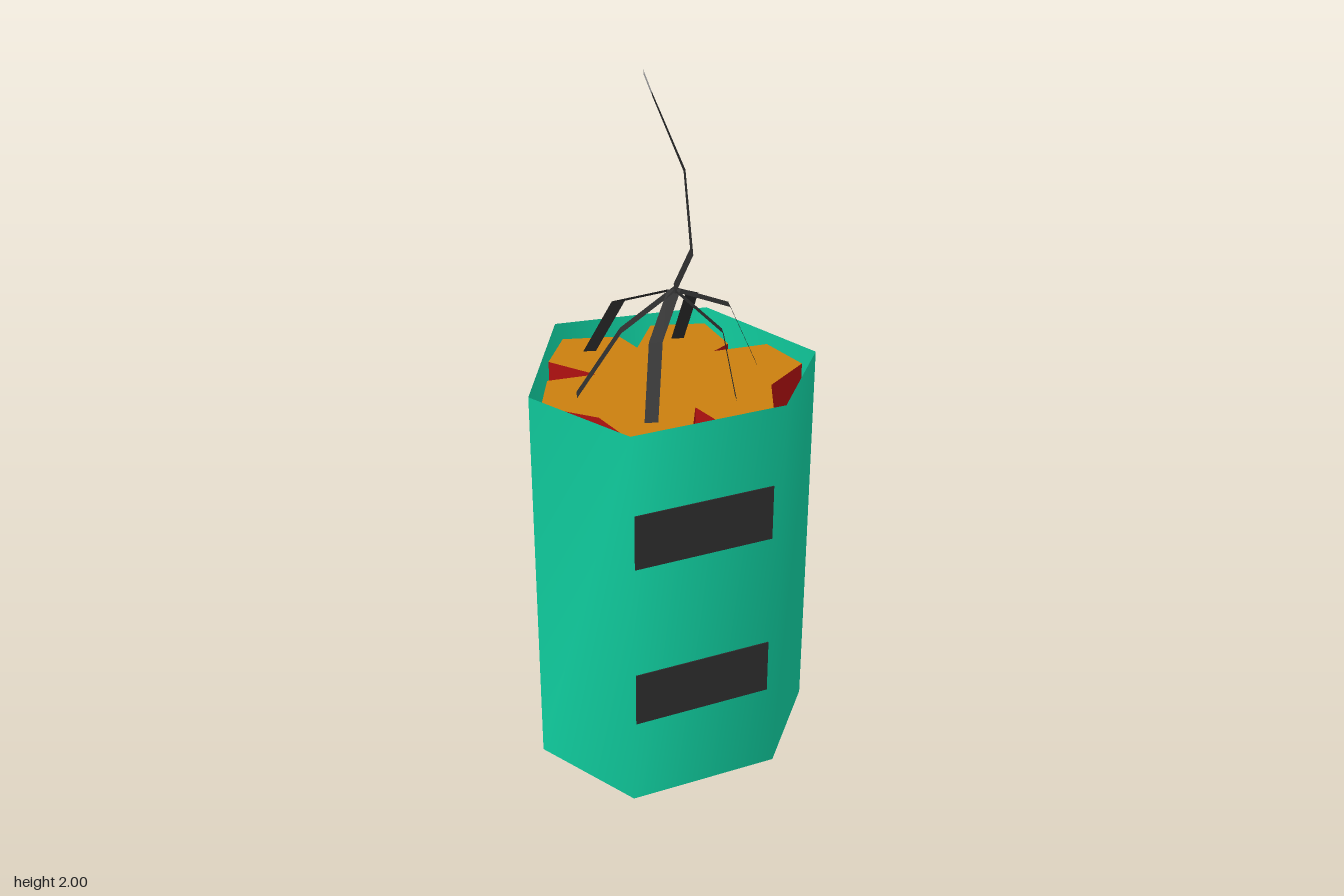
import * as THREE from 'three';

const mat = (name, color, side = THREE.DoubleSide) => {
  const m = new THREE.MeshStandardMaterial({ color, side });
  m.name = name;
  return m;
};

// Slightly irregular hexagon [x, z]: back, right side, front, left side
const HEX = [[0.015, -0.415], [0.387, -0.14], [0.33, 0.29], [0.005, 0.413], [-0.388, 0.2], [-0.385, -0.155]];

// Outline of the bundled sticks [x, z]
const BUNDLE = [
  [0.005, -0.378], [0.122, -0.26], [0.095, -0.17], [0.24, -0.237], [0.352, -0.12],
  [0.28, 0.02], [0.215, 0.018], [0.348, 0.11], [0.303, 0.263], [0.137, 0.273],
  [0.005, 0.375], [-0.127, 0.288], [-0.1, 0.19], [-0.23, 0.278], [-0.357, 0.187],
  [-0.307, 0.025], [-0.357, -0.137], [-0.228, -0.23], [-0.113, -0.15], [-0.135, -0.308],
];

const RIM = 1.19, TOP = 1.155;

const planShape = (pts) => new THREE.Shape(pts.map(([x, z]) => new THREE.Vector2(x, -z)));

// Open prism with normals smoothed around the corners
function wrapperGeometry() {
  const pos = [], idx = [], n = HEX.length;
  HEX.forEach(([x, z], i) => {
    pos.push(x, 0, z, x, RIM, z);
    const a = i * 2, b = ((i + 1) % n) * 2;
    idx.push(b, a, a + 1, b, a + 1, b + 1);
  });
  const g = new THREE.BufferGeometry();
  g.setAttribute('position', new THREE.Float32BufferAttribute(pos, 3));
  g.setIndex(idx);
  g.computeVertexNormals();
  return g;
}

// Flat ribbon along a path; width stays fixed or is squared to the path
function ribbonGeometry(path, width, square = false) {
  const pts = path.map((p) => new THREE.Vector3(...p));
  const w0 = new THREE.Vector3(...width);
  const pos = [], idx = [];
  pts.forEach((p, i) => {
    const w = w0.clone();
    if (square) {
      const t = pts[Math.min(i + 1, pts.length - 1)].clone().sub(pts[Math.max(i - 1, 0)]).normalize();
      w.addScaledVector(t, -w.dot(t)).setLength(w0.length());
    }
    const a = p.clone().addScaledVector(w, -0.5), b = p.clone().addScaledVector(w, 0.5);
    pos.push(a.x, a.y, a.z, b.x, b.y, b.z);
    if (i) idx.push(2 * i - 2, 2 * i - 1, 2 * i + 1, 2 * i - 2, 2 * i + 1, 2 * i);
  });
  const g = new THREE.BufferGeometry();
  g.setAttribute('position', new THREE.Float32BufferAttribute(pos, 3));
  g.setIndex(idx);
  const flat = g.toNonIndexed();
  flat.computeVertexNormals();
  return flat;
}

export function createModel() {
  const model = new THREE.Group();
  const green = mat('wrapperGreen', 0x10cfa0);
  const orange = mat('stickTopOrange', 0xca7f0e);
  const red = mat('stickSideRed', 0xb01010);
  const dark = mat('fuseCharcoal', 0x2d2d2d);
  const silver = mat('fuseTipSilver', 0xb8b8b8);

  const add = (name, geo, material, parent = model) => {
    const mesh = new THREE.Mesh(geo, material);
    mesh.name = name;
    parent.add(mesh);
    return mesh;
  };

  // Outer wrapper and its base
  add('wrapper', wrapperGeometry(), green);
  add('base', new THREE.ShapeGeometry(planShape(HEX)).rotateX(-Math.PI / 2), green);

  // Bundle of sticks recessed inside the wrapper
  const bundle = new THREE.ExtrudeGeometry(planShape(BUNDLE), { depth: TOP - 0.02, bevelEnabled: false });
  bundle.rotateX(-Math.PI / 2).translate(0, 0.02, 0);
  add('stickBundle', bundle, [orange, red]);

  // Dark bands: [hexagon side, start, end] as fractions along that side
  const bands = new THREE.Group();
  bands.name = 'bands';
  model.add(bands);
  for (const [side, t0, t1] of [[3, 0.065, 0.98], [1, 0.25, 0.65], [0, 0.455, 0.745], [5, 0.66, 0.92]]) {
    const [ax, az] = HEX[side], [bx, bz] = HEX[(side + 1) % 6];
    const dx = bx - ax, dz = bz - az, t = (t0 + t1) / 2;
    for (const y of [0.352, 0.867]) {
      const band = add('band', new THREE.BoxGeometry(Math.hypot(dx, dz) * (t1 - t0), 0.167, 0.006), dark, bands);
      band.position.set(ax + dx * t, y, az + dz * t);
      band.rotation.y = -Math.atan2(dz, dx);
    }
  }

  // Six short fuses meeting above the sticks: bend, end, direction of width
  const hub = [-0.008, 1.43, 0.045];
  const fuses = [
    [[-0.005, 1.34, -0.155], [-0.008, TOP, -0.263], 1],
    [[0.005, 1.345, 0.2], [0.01, TOP, 0.245], -1],
    [[0.15, 1.35, -0.015], [0.218, TOP, -0.118], 1],
    [[-0.17, 1.35, -0.01], [-0.243, TOP, -0.108], -1],
    [[-0.17, 1.35, 0.11], [-0.243, TOP, 0.153], 1],
    [[0.15, 1.35, 0.115], [0.223, TOP, 0.162], -1],
  ];
  for (const [bend, end, s] of fuses) {
    add('shortFuse', ribbonGeometry([hub, bend, end], [0.026, 0, 0.026 * s]), dark);
  }

  // Long main fuse with a pale tip
  const width = [0.026, 0, -0.031];
  const neck = [0.036, 1.94, -0.066];
  add('mainFuse', ribbonGeometry([hub, [-0.024, 1.56, 0.115], [-0.005, 1.77, 0.075], neck], width, true), dark);
  add('fuseTip', ribbonGeometry([neck, [0.046, 1.988, -0.102]], width, true), silver);

  return model;
}
